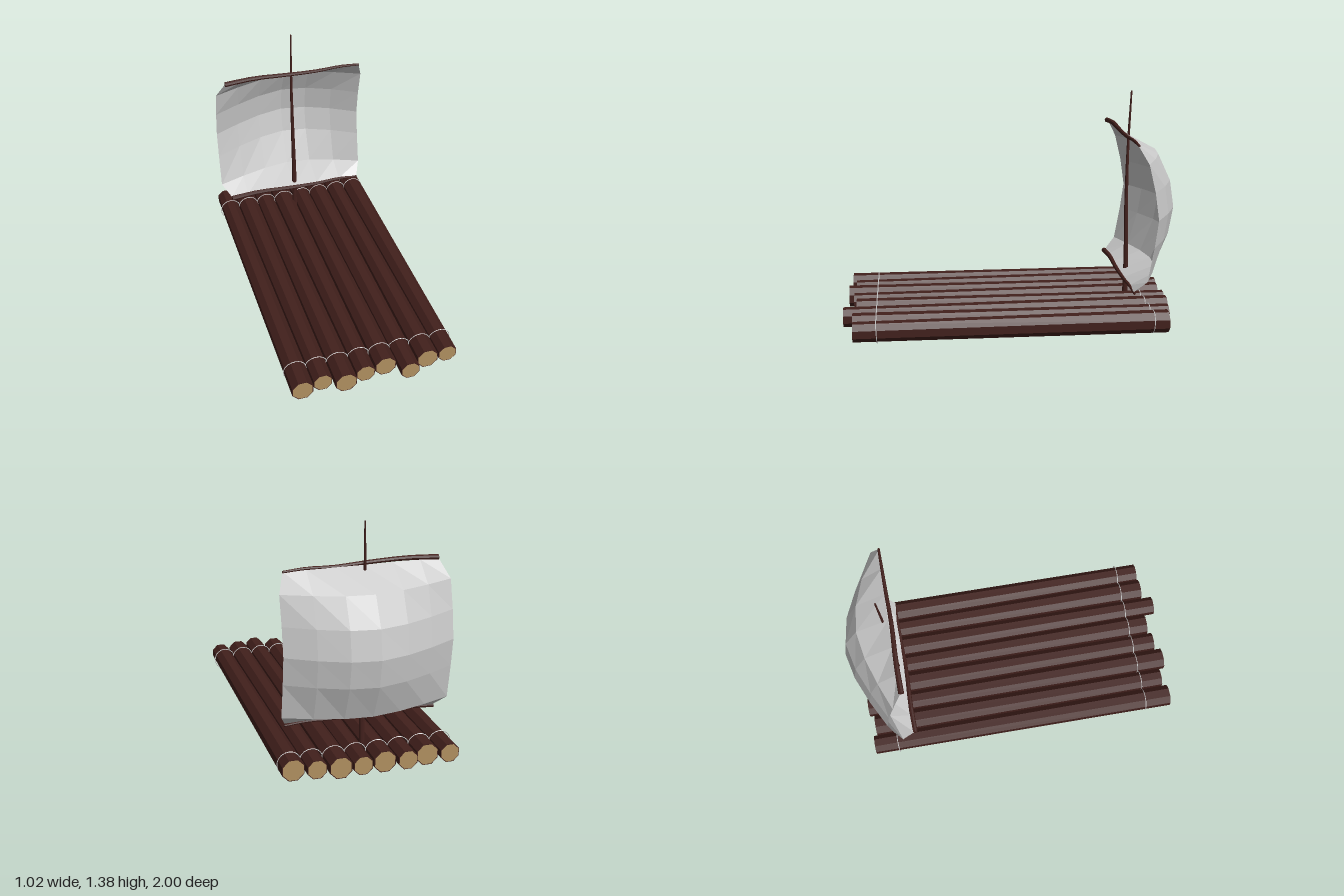
import * as THREE from 'three';

const mat = (color, extra = {}) => new THREE.MeshStandardMaterial({ color, flatShading: true, ...extra });
const bark = mat(0x42201c);
const cutWood = mat(0xb09060);
const rope = mat(0xcccccc);
const cloth = mat(0xcccccc, { side: THREE.DoubleSide });

function add(parent, name, geometry, material) {
  const mesh = new THREE.Mesh(geometry, material);
  mesh.name = name;
  parent.add(mesh);
  return mesh;
}

// Slightly crooked, tapering pole that follows a few points
function poleGeometry(points, r0, r1, horizontal) {
  const curve = new THREE.CatmullRomCurve3(points.map(p => new THREE.Vector3(...p)));
  const g = new THREE.CylinderGeometry(1, 1, 1, 8, 12);
  const pos = g.attributes.position;
  for (let i = 0; i < pos.count; i++) {
    const t = THREE.MathUtils.clamp(pos.getY(i) + 0.5, 0, 1);
    const r = THREE.MathUtils.lerp(r0, r1, t);
    const c = curve.getPoint(t);
    const a = pos.getX(i) * r, b = pos.getZ(i) * r;
    if (horizontal) pos.setXYZ(i, c.x, c.y - a, c.z + b);
    else pos.setXYZ(i, c.x + a, c.y, c.z + b);
  }
  g.computeVertexNormals();
  return g;
}

// Octagonal log with pale cut ends and a rope ring near each end
function makeLog(x, back, front, thickAtFront) {
  const log = new THREE.Group();
  log.name = 'log';
  const rf = thickAtFront ? 0.066 : 0.058;
  const rb = thickAtFront ? 0.058 : 0.067;
  const length = front - back;
  const body = new THREE.CylinderGeometry(rf, rb, length, 8, 1, false, Math.PI / 8);
  body.rotateX(Math.PI / 2);
  add(log, 'logBark', body, bark).position.z = (front + back) / 2;

  for (const [z, r, turn] of [[front + 0.001, rf, 0], [back - 0.001, rb, Math.PI]]) {
    const end = add(log, 'logEnd', new THREE.CircleGeometry(r * 0.93, 8, Math.PI / 8), cutWood);
    end.position.z = z;
    end.rotation.y = turn;
  }
  for (const side of [-1, 1]) {
    const ring = add(log, 'ropeRing', new THREE.TorusGeometry(0.067, 0.0025, 4, 20), rope);
    ring.position.z = 0.8 * side;
    ring.rotation.x = 0.05 * side;
  }
  log.position.set(x, 0.088, 0);
  return log;
}

// Billowing sail: each row has a height, an edge depth and a centre depth
function sailGeometry() {
  const rows = [
    [1.13, -0.685, -0.695], [1.025, -0.745, -0.89], [0.863, -0.785, -0.973],
    [0.70, -0.81, -1.0], [0.54, -0.79, -0.973], [0.336, -0.755, -0.885], [0.268, -0.685, -0.69],
  ];
  const columns = [-0.498, -0.338, -0.177, -0.013, 0.145, 0.303, 0.463];
  const bulge = [0, 0.44, 0.8, 1, 0.87, 0.5, 0];
  const g = new THREE.PlaneGeometry(1, 1, 6, 6);
  const pos = g.attributes.position;
  rows.forEach(([y, edge, centre], j) => columns.forEach((cx, i) => {
    const laced = j === 0 || j === 6;
    const x = laced ? THREE.MathUtils.clamp(cx, -0.447, 0.428) : cx;
    pos.setXYZ(j * 7 + i, x, y, THREE.MathUtils.lerp(edge, centre, bulge[i]));
  }));
  g.computeVertexNormals();
  return g;
}

export function createModel() {
  const raft = new THREE.Group();
  raft.name = 'sailingRaft';

  // Deck logs: x, back end, front end
  const deck = new THREE.Group();
  deck.name = 'deck';
  const logs = [
    [-0.440, -0.95, 0.965], [-0.315, -0.93, 0.94], [-0.190, -0.96, 0.98], [-0.064, -0.94, 0.945],
    [0.063, -0.95, 0.925], [0.186, -0.94, 0.999], [0.313, -0.92, 0.94], [0.437, -0.89, 0.935],
  ];
  logs.forEach(([x, back, front], i) => deck.add(makeLog(x, back, front, i % 2 === 0)));
  raft.add(deck);

  // Mast
  add(raft, 'mast', poleGeometry([
    [-0.005, 0, -0.727], [-0.003, 0.35, -0.729], [-0.009, 0.7, -0.722],
    [-0.011, 1.04, -0.724], [-0.005, 1.38, -0.735],
  ], 0.018, 0.005, false), bark);

  // Upper and lower yards
  for (const [name, y] of [['upperYard', 1.135], ['lowerYard', 0.265]]) {
    add(raft, name, poleGeometry([
      [-0.448, y - 0.002, -0.68], [-0.26, y + 0.009, -0.683], [-0.05, y + 0.003, -0.678],
      [0.15, y - 0.005, -0.684], [0.3, y + 0.001, -0.687], [0.43, y - 0.007, -0.69],
    ], 0.016, 0.007, true), bark);
  }

  // Sail
  add(raft, 'sail', sailGeometry(), cloth);

  return raft;
}
